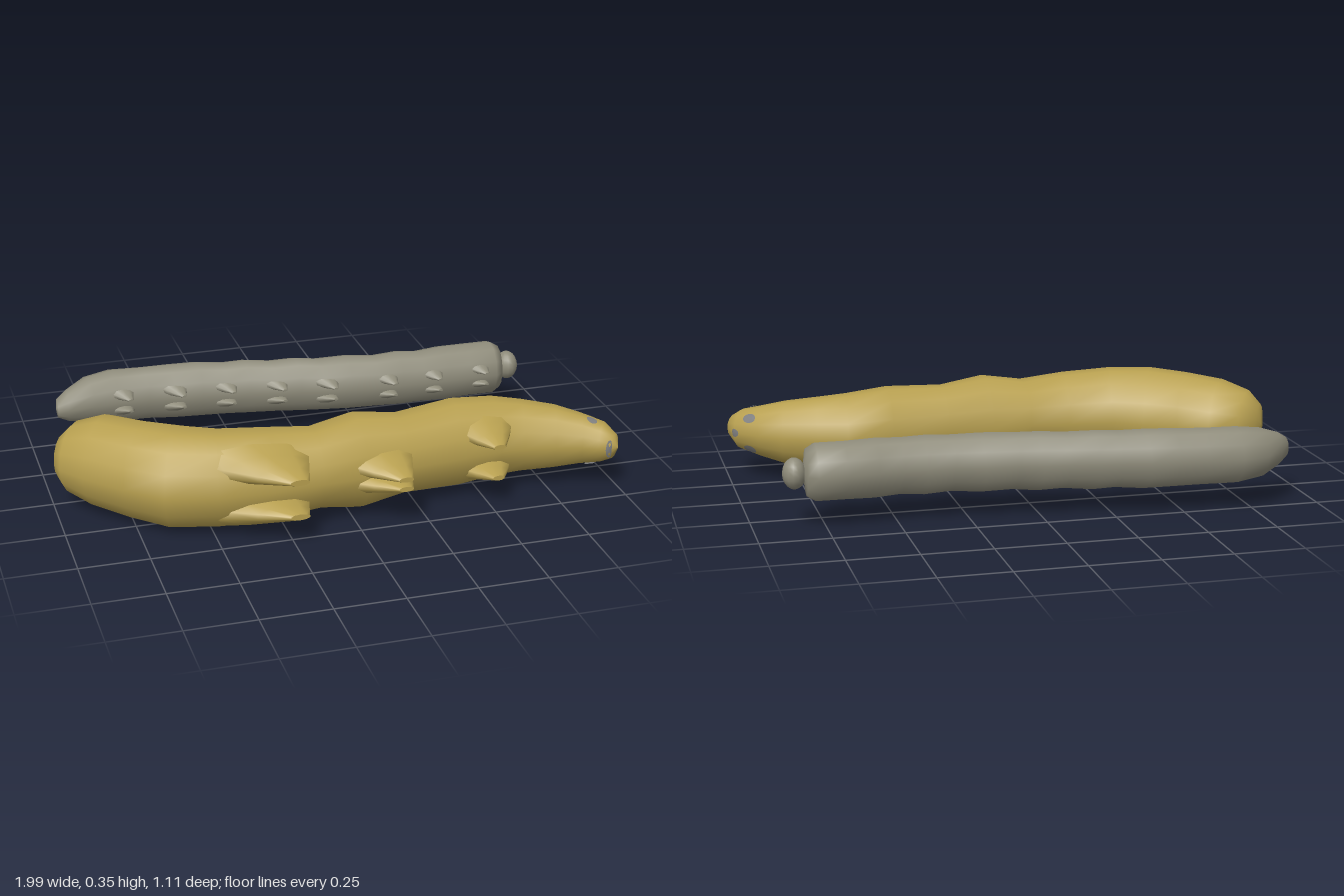
import * as THREE from 'three';

const gold = new THREE.MeshStandardMaterial({ color: 0xb8a050 });
gold.name = 'ochre skin';
const grey = new THREE.MeshStandardMaterial({ color: 0x8f8c7b });
grey.name = 'grey skin';
const spot = new THREE.MeshStandardMaterial({ color: 0x7d7d7d, side: THREE.DoubleSide });
spot.name = 'eye grey';

// Cross-sections: back x, back z, front x, front z, half height
const goldSections = [
  [-0.965, -0.035, -0.965, -0.035, 0], [-0.92, -0.08, -0.995, 0.03, 0.08],
  [-0.84, -0.11, -0.985, 0.09, 0.13], [-0.73, -0.09, -0.92, 0.18, 0.165],
  [-0.64, 0, -0.8, 0.31, 0.174], [-0.53, 0.075, -0.68, 0.42, 0.18],
  [-0.43, 0.14, -0.5, 0.465, 0.176], [-0.27, 0.155, -0.3, 0.475, 0.165],
  [-0.12, 0.165, -0.12, 0.46, 0.148], [0.03, 0.135, 0.04, 0.455, 0.175],
  [0.2, 0.145, 0.2, 0.42, 0.15], [0.42, 0.1, 0.41, 0.4, 0.163],
  [0.59, 0.09, 0.56, 0.385, 0.147], [0.7, 0.14, 0.65, 0.385, 0.135],
  [0.82, 0.2, 0.76, 0.41, 0.118], [0.9, 0.26, 0.85, 0.435, 0.095],
  [0.98, 0.34, 0.9, 0.46, 0.075], [0.995, 0.42, 0.935, 0.475, 0.045],
  [0.975, 0.465, 0.975, 0.465, 0],
];
const greySections = [
  [-0.915, -0.41, -0.915, -0.41, 0], [-0.91, -0.44, -0.91, -0.375, 0.035],
  [-0.87, -0.48, -0.87, -0.37, 0.06], [-0.8, -0.535, -0.77, -0.38, 0.09],
  [-0.7, -0.557, -0.68, -0.385, 0.103], [-0.58, -0.543, -0.56, -0.385, 0.103],
  [-0.47, -0.541, -0.46, -0.365, 0.106], [-0.37, -0.53, -0.36, -0.36, 0.108],
  [-0.27, -0.505, -0.26, -0.342, 0.103], [-0.19, -0.5, -0.18, -0.335, 0.107],
  [-0.09, -0.475, -0.08, -0.31, 0.102], [0, -0.465, 0.01, -0.3, 0.107],
  [0.08, -0.445, 0.1, -0.275, 0.103], [0.2, -0.437, 0.2, -0.265, 0.107],
  [0.3, -0.415, 0.31, -0.25, 0.102], [0.4, -0.42, 0.4, -0.25, 0.107],
  [0.48, -0.41, 0.49, -0.245, 0.102], [0.57, -0.422, 0.58, -0.245, 0.107],
  [0.68, -0.43, 0.68, -0.247, 0.104], [0.78, -0.43, 0.78, -0.245, 0.104],
  [0.815, -0.405, 0.81, -0.265, 0.085], [0.825, -0.34, 0.825, -0.34, 0],
];

// Point on a lofted body at section position t and angle a (0 = back, PI = front)
function surfacePoint(sections, midY, t, a, grow = 1) {
  const i = Math.min(Math.floor(t), sections.length - 2);
  const [bx, bz, fx, fz, h] = sections[i].map((v, k) => v + (sections[i + 1][k] - v) * (t - i));
  const c = Math.cos(a) * 0.5 * grow;
  return [(bx + fx) / 2 + (bx - fx) * c, midY + h * Math.sin(a) * grow, (bz + fz) / 2 + (bz - fz) * c];
}

function makeGeometry(pos, idx) {
  const g = new THREE.BufferGeometry();
  g.setAttribute('position', new THREE.Float32BufferAttribute(pos, 3));
  g.setIndex(idx);
  g.computeVertexNormals();
  return g;
}

function loft(sections, midY, sides) {
  const pos = [], idx = [];
  sections.forEach((s, i) => {
    for (let j = 0; j < sides; j++) {
      pos.push(...surfacePoint(sections, midY, i, (j / sides) * Math.PI * 2));
      if (i === sections.length - 1) continue;
      const k = (j + 1) % sides, a = i * sides + j, b = i * sides + k;
      idx.push(a, b, a + sides, b, b + sides, a + sides);
    }
  });
  return makeGeometry(pos, idx);
}

// Thin oval patch lying just over the gold skin
function patch(t, a, dt, da) {
  const n = 14, idx = [];
  const pos = [...surfacePoint(goldSections, 0.185, t, a, 1.05)];
  for (let i = 0; i < n; i++) {
    const w = (i / n) * Math.PI * 2;
    pos.push(...surfacePoint(goldSections, 0.185, t + dt * Math.cos(w), a + da * Math.sin(w), 1.04));
    idx.push(0, 1 + i, 1 + ((i + 1) % n));
  }
  return makeGeometry(pos, idx);
}

// Blunt leaning leg from base [x,y,z] to tip [x,y,z]
function leg(base, tip, rx, ry) {
  const g = new THREE.CylinderGeometry(0.16, 1, 1, 10, 3);
  g.translate(0, 0.5, 0).rotateX(Math.PI / 2);
  const p = g.attributes.position;
  for (let i = 0; i < p.count; i++) {
    const f = p.getZ(i);
    p.setXYZ(i,
      base[0] + (tip[0] - base[0]) * f + p.getX(i) * rx,
      base[1] + (tip[1] - base[1]) * f + p.getY(i) * ry,
      base[2] + (tip[2] - base[2]) * f);
  }
  g.computeVertexNormals();
  return g;
}

export function createModel() {
  const model = new THREE.Group();
  const add = (parent, name, geometry, material) => {
    const m = new THREE.Mesh(geometry, material);
    m.name = name;
    parent.add(m);
    return m;
  };

  // Large ochre grub
  const large = new THREE.Group();
  large.name = 'largeGrub';
  model.add(large);
  add(large, 'largeBody', loft(goldSections, 0.185, 14), gold);
  for (const s of [1, -1]) {
    add(large, 'rearLeg', leg([-0.37, 0.185 + s * 0.085, 0.39], [-0.235, 0.185 + s * 0.065, 0.553], 0.22, 0.07), gold);
    add(large, 'middleLeg', leg([0.06, 0.185 + s * 0.04, 0.37], [0.15, 0.185 + s * 0.018, 0.54], 0.17, 0.06), gold);
    add(large, 'frontLeg', leg([0.5, 0.185 + s * 0.075, 0.3], [0.52, 0.185 + s * 0.06, 0.465], 0.14, 0.06), gold);
    // Head spots
    add(large, 'eye', patch(15.4, s * 0.72, 0.26, 0.22), spot);
    add(large, 'cheekSpot', patch(15.5, s * 1.8, 0.25, 0.2), spot);
  }
  add(large, 'browSpot', patch(16, 0, 0.2, 0.2), spot);
  add(large, 'mouth', patch(17, Math.PI, 0.3, 0.8), spot);

  // Small grey grub
  const small = new THREE.Group();
  small.name = 'smallGrub';
  model.add(small);
  add(small, 'smallBody', loft(greySections, 0.2, 12), grey);
  const head = add(small, 'smallHead', new THREE.SphereGeometry(0.052, 14, 10), grey);
  head.position.set(0.853, 0.2, -0.338);
  head.scale.set(0.8, 1.06, 0.95);

  // Paired stubby feet: x and tip z
  const feet = [[-0.65, -0.352], [-0.45, -0.333], [-0.26, -0.315], [-0.07, -0.284],
    [0.12, -0.245], [0.35, -0.22], [0.53, -0.217], [0.72, -0.222]];
  for (const [x, z] of feet) {
    for (const s of [1, -1]) {
      add(small, 'stubFoot', leg([x - 0.02, 0.2 + s * 0.035, z - 0.06], [x + 0.01, 0.2 + s * 0.022, z], 0.055, 0.026), grey);
    }
  }
  return model;
}
